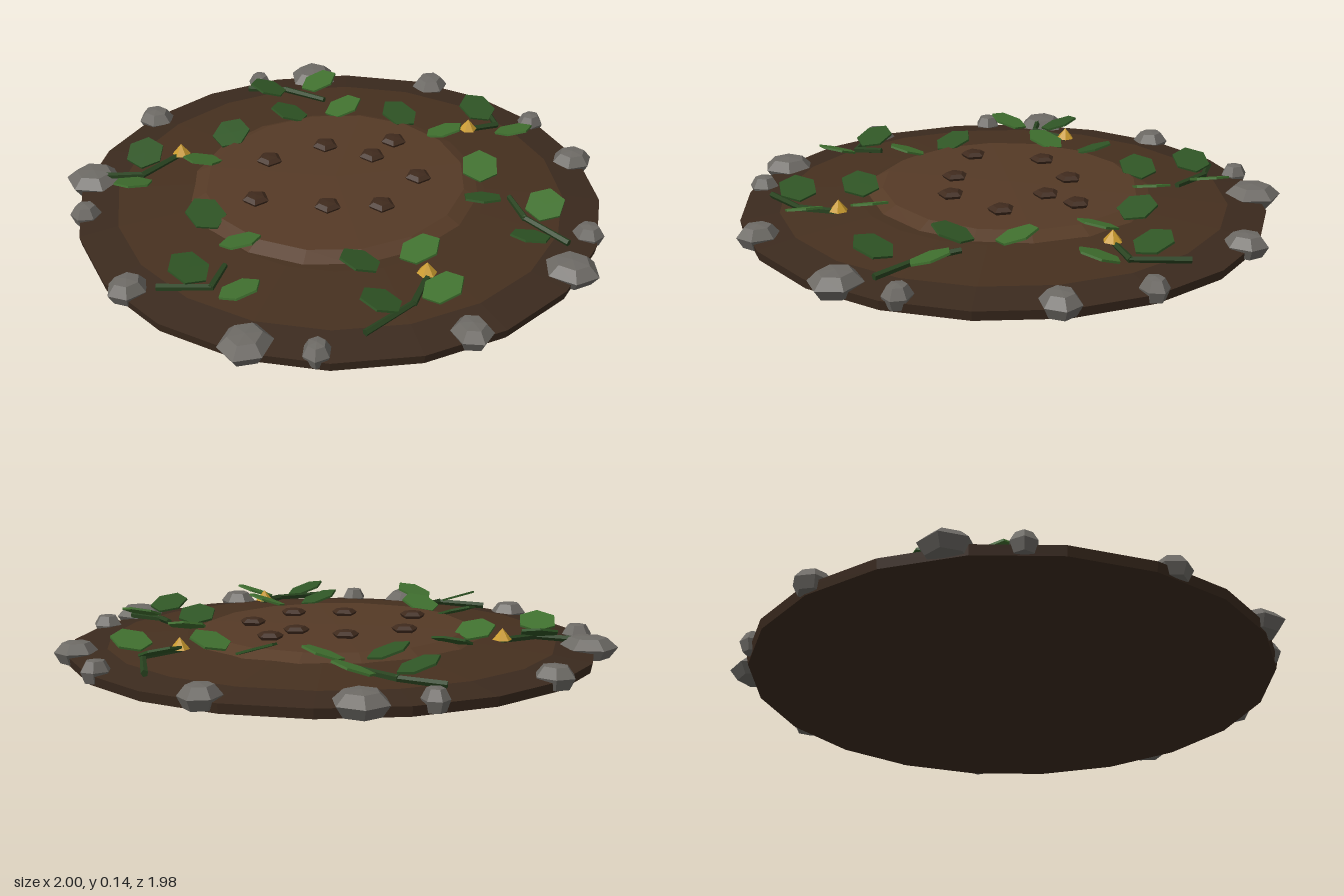
import * as THREE from 'three';

const mat = (color) => new THREE.MeshStandardMaterial({ color, flatShading: true });
const soilMat = mat(0x46301f), moundMat = mat(0x553a26), clodMat = mat(0x3f2a1d);
const stoneMat = mat(0x6d6a65), darkLeafMat = mat(0x2f5525), lightLeafMat = mat(0x40702f);
const stemMat = mat(0x28421f), budMat = mat(0xc99a2e);
const rimMat = mat(0x3b2a1e);

const lathe = (profile, sides) =>
  new THREE.LatheGeometry(profile.map(([r, y]) => new THREE.Vector2(r, y)), sides);

export function createModel() {
  const model = new THREE.Group();
  const add = (name, geometry, material, x = 0, y = 0, z = 0) => {
    const mesh = new THREE.Mesh(geometry, material);
    mesh.name = name;
    mesh.position.set(x, y, z);
    model.add(mesh);
    return mesh;
  };

  // Stepped soil: dark rim, sloping bed and low central mound
  add('soilRim', lathe([[0, 0], [0.965, 0], [0.972, 0.035], [0.83, 0.055]], 20), rimMat, 0, 0, -0.015);
  add('soilBed', lathe([[0.83, 0.055], [0.54, 0.078], [0, 0.08]], 20), soilMat, 0, 0, -0.015);
  add('soilMound', lathe([[0.56, 0.07], [0.49, 0.104], [0, 0.11]], 16), moundMat, 0, 0, -0.04)
    .scale.z = 0.96;

  // Border stones, long axis pointing outward: x, z, radius
  const stoneGeometry = lathe([[0, 0], [0.72, 0.005], [1, 0.045], [0.62, 0.08], [0, 0.085]], 6);
  [
    [-0.3, -0.91, 0.075], [0.215, -0.94, 0.052], [0.43, -0.85, 0.108], [0.805, -0.51, 0.08],
    [0.945, -0.02, 0.055], [0.885, 0.295, 0.08], [0.585, 0.71, 0.058], [0.39, 0.835, 0.102],
    [-0.11, 0.91, 0.078], [-0.58, 0.71, 0.056], [-0.745, 0.545, 0.102], [-0.925, 0.07, 0.076],
    [-0.845, -0.425, 0.057], [-0.715, -0.625, 0.108],
  ].forEach(([x, z, r]) => {
    const stone = add('borderStone', stoneGeometry, stoneMat, x, 0.002, z);
    stone.scale.set(r * 0.9, 1, r);
    stone.rotation.y = Math.atan2(x, z);
  });

  // Soil clods on the mound
  const clodGeometry = lathe([[0, 0], [0.04, 0], [0.05, 0.015], [0.032, 0.027], [0, 0.03]], 5);
  [
    [-0.145, -0.275], [0.09, -0.245], [0.33, -0.125], [0.195, -0.08],
    [-0.33, -0.07], [-0.14, 0.115], [0.025, 0.22], [0.25, 0.14],
  ].forEach(([x, z]) => {
    add('soilClod', clodGeometry, clodMat, x, 0.102, z).rotation.y = Math.PI;
  });

  // Leaf pairs, each leaf tilted up and away from its partner: dark x, z, light x, z
  const leafGeometry = new THREE.CylinderGeometry(0.077, 0.077, 0.008, 6);
  const addLeaf = (x, z, dx, dz, material) => {
    const leaf = add('leaf', leafGeometry, material, x, 0.115, z);
    leaf.rotation.order = 'YXZ';
    leaf.rotation.y = Math.atan2(dx, dz);
    leaf.rotation.x = 0.33;
    leaf.scale.x = 0.95;
  };
  [
    [0.155, -0.77, 0.36, -0.7], [0.115, -0.545, 0.32, -0.46], [-0.165, -0.53, -0.355, -0.42],
    [-0.515, -0.585, -0.65, -0.42], [-0.53, -0.085, -0.515, 0.13], [-0.74, 0.17, -0.66, 0.37],
    [-0.24, 0.46, -0.03, 0.52], [-0.31, 0.68, -0.1, 0.74], [0.355, 0.39, 0.485, 0.215],
    [0.335, 0.675, 0.51, 0.555], [0.475, -0.285, 0.54, -0.075], [0.765, -0.145, 0.77, 0.075],
  ].forEach(([ax, az, bx, bz]) => {
    addLeaf(ax, az, bx - ax, bz - az, darkLeafMat);
    addLeaf(bx, bz, ax - bx, az - bz, lightLeafMat);
  });

  // Creeping stems, bent once
  const stemGeometry = new THREE.CylinderGeometry(0.011, 0.013, 1, 5);
  const up = new THREE.Vector3(0, 1, 0);
  [
    [[0.13, -0.88], [0.24, -0.77], [0.31, -0.59]],
    [[-0.72, -0.61], [-0.57, -0.5], [-0.39, -0.535]],
    [[0.86, -0.225], [0.78, -0.04], [0.65, -0.06]],
    [[-0.85, 0.15], [-0.71, 0.265], [-0.62, 0.2]],
    [[-0.41, 0.74], [-0.2, 0.715], [-0.075, 0.63]],
    [[0.465, 0.73], [0.43, 0.54], [0.46, 0.42]],
  ].forEach((path) => {
    const points = path.map(([x, z], i) => new THREE.Vector3(x, 0.068 + i * 0.012, z));
    for (let i = 0; i < 2; i++) {
      const along = points[i + 1].clone().sub(points[i]);
      const mid = points[i].clone().lerp(points[i + 1], 0.5);
      const stem = add('stem', stemGeometry, stemMat, mid.x, mid.y, mid.z);
      stem.scale.y = along.length() + 0.01;
      stem.quaternion.setFromUnitVectors(up, along.normalize());
    }
  });

  // Yellow flower buds
  const budGeometry = new THREE.ConeGeometry(0.035, 0.042, 6);
  [[-0.385, -0.535], [0.65, -0.06], [-0.075, 0.62]].forEach(([x, z]) => {
    add('flowerBud', budGeometry, budMat, x, 0.115, z);
  });

  return model;
}
